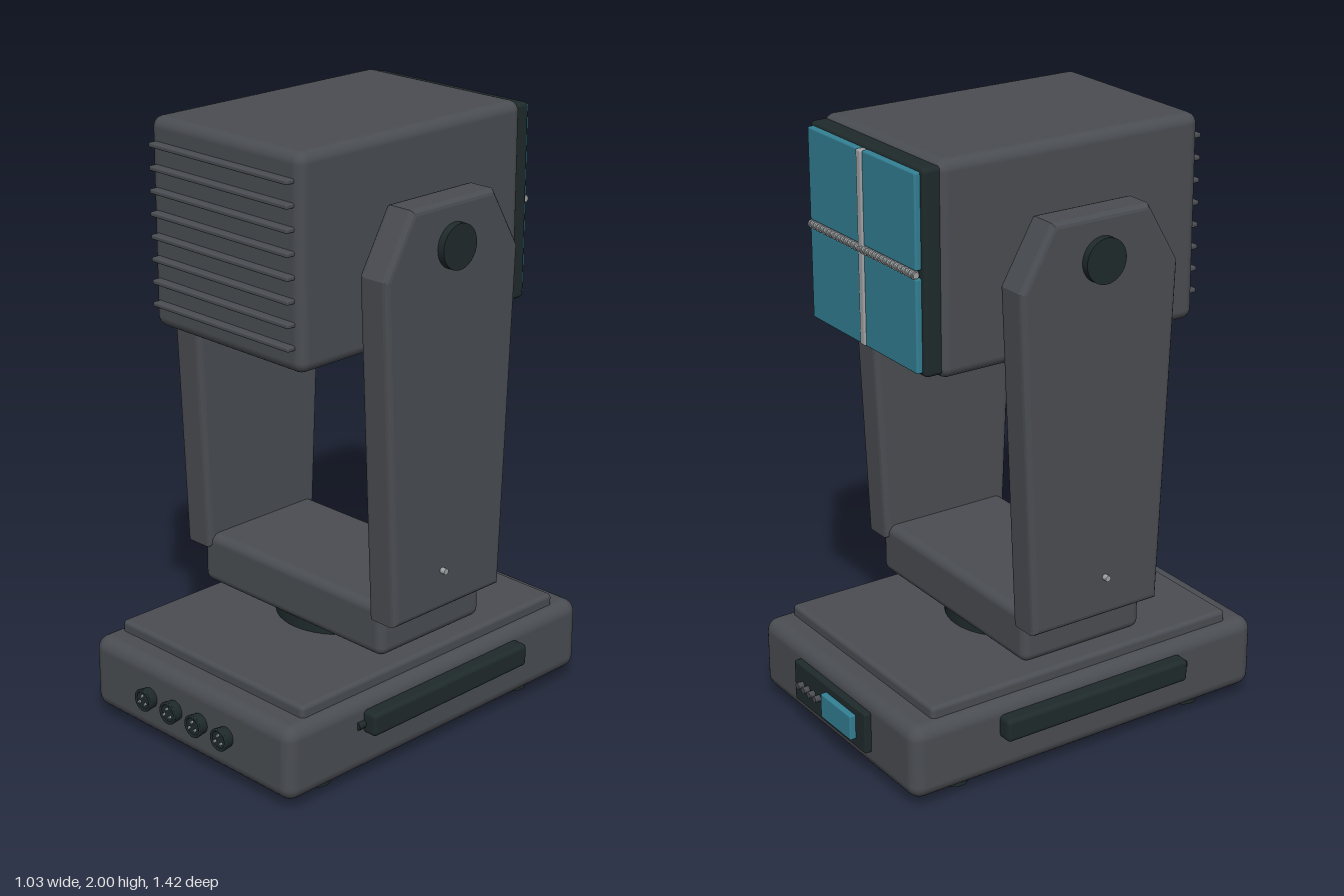
import * as THREE from 'three';
import { RoundedBoxGeometry } from 'three/addons/geometries/RoundedBoxGeometry.js';

const mat = (name, color) => {
  const m = new THREE.MeshStandardMaterial({ color });
  m.name = name;
  return m;
};

export function createModel() {
  const body = mat('charcoal body', 0x4a4d52);
  const dark = mat('dark rubber', 0x1f2a2b);
  const glass = mat('teal glass', 0x338094);
  const metal = mat('silver metal', 0xa0a4a6);

  const model = new THREE.Group();
  model.name = 'movingHeadLight';

  const add = (name, geometry, material, x = 0, y = 0, z = 0) => {
    const mesh = new THREE.Mesh(geometry, material);
    mesh.name = name;
    mesh.position.set(x, y, z);
    model.add(mesh);
    return mesh;
  };
  const box = (w, h, d, r) => new RoundedBoxGeometry(w, h, d, 3, r);
  // Cylinder along a chosen axis
  const rod = (r, len, axis = 'y', sides = 32, r2 = r) => {
    const g = new THREE.CylinderGeometry(r2, r, len, sides);
    if (axis === 'x') g.rotateZ(-Math.PI / 2);
    if (axis === 'z') g.rotateX(Math.PI / 2);
    return g;
  };

  // Base housing with raised top plate and feet
  add('base', box(0.93, 0.25, 1.335, 0.045), body, 0, 0.16, 0);
  add('baseTopPlate', box(0.85, 0.07, 1.15, 0.015), body, 0, 0.287, 0);
  for (const x of [-0.36, 0.36])
    for (const z of [-0.457, 0.457]) add('foot', rod(0.045, 0.05, 'y', 24), dark, x, 0.025, z);

  // Side carry handles
  for (const s of [-1, 1]) {
    add('sideHandle', box(0.06, 0.078, 0.705, 0.015), dark, s * 0.484, 0.206, 0);
    add('handlePin', rod(0.014, 0.04, 'z', 12), dark, s * 0.463, 0.2, 0.36);
  }

  // Round sockets on the front, each with three pins
  for (const x of [-0.18, -0.06, 0.06, 0.18]) {
    add('socket', rod(0.032, 0.04, 'z', 24, 0.038), dark, x, 0.165, 0.679);
    add('socketRim', new THREE.TorusGeometry(0.033, 0.005, 8, 24), dark, x, 0.165, 0.698);
    for (let i = 0; i < 3; i++) {
      const a = Math.PI / 2 + (i * Math.PI * 2) / 3;
      add('socketPin', rod(0.005, 0.008, 'z', 8), metal,
        x + 0.016 * Math.cos(a), 0.165 + 0.016 * Math.sin(a), 0.701);
    }
  }

  // Control panel on the back
  add('controlPanel', box(0.434, 0.14, 0.03, 0.006), dark, 0, 0.17, -0.676);
  add('display', box(0.18, 0.085, 0.025, 0.004), glass, -0.072, 0.172, -0.699);
  for (let i = 0; i < 4; i++)
    add('button', rod(0.011, 0.025, 'z', 16), body, 0.061 + i * 0.035, 0.172, -0.699);

  // Pan bearing and yoke
  add('panBearing', rod(0.21, 0.06, 'y', 48), dark, 0, 0.34, 0);
  add('yokeBase', box(0.83, 0.175, 0.456, 0.03), body, 0, 0.446, 0);

  // Tapered arm profile, extruded along x with a soft bevel
  const profile = new THREE.Shape(
    [[-0.238, 0.488], [0.238, 0.488], [0.287, 1.61], [0.174, 1.805], [-0.174, 1.805], [-0.287, 1.61]]
      .map(([z, y]) => new THREE.Vector2(z, y)));
  const bevel = 0.018;
  const armGeometry = new THREE.ExtrudeGeometry(profile, {
    depth: 0.115 - 2 * bevel, bevelThickness: bevel, bevelSize: bevel,
    bevelOffset: -bevel, bevelSegments: 3,
  });
  armGeometry.translate(0, 0, -(0.115 - 2 * bevel) / 2);
  armGeometry.rotateY(Math.PI / 2);

  const tiltY = 1.667;
  for (const s of [-1, 1]) {
    add('yokeArm', armGeometry, body, s * 0.426, 0, 0);
    add('tiltBearing', rod(0.103, 0.07, 'x'), body, s * 0.35, tiltY, 0);
    add('tiltKnob', rod(0.072, 0.05, 'x'), dark, s * 0.483, tiltY, 0);
    add('armScrew', rod(0.01, 0.03, 'x', 12), metal, s * 0.487, 0.622, 0.03);
  }

  // Lamp head
  add('head', box(0.66, 0.666, 0.945, 0.035), body, 0, tiltY, 0.0075);
  add('lensFrame', box(0.635, 0.636, 0.07, 0.015), dark, 0, tiltY, -0.476);

  // Cooling fins on the front of the head
  for (let i = 0; i < 8; i++)
    add('coolingFin', box(0.605, 0.015, 0.04, 0.005), body, 0, 1.416 + i * 0.0717, 0.488);

  // Four glass panes divided by a ribbed crossbar
  for (const x of [-1, 1])
    for (const y of [-1, 1])
      add('lensPane', box(0.287, 0.293, 0.03, 0.006), glass, x * 0.156, tiltY + y * 0.159, -0.515);
  add('lensBarVertical', box(0.028, 0.61, 0.032, 0.006), metal, 0, tiltY, -0.519);
  add('lensBarHorizontal', rod(0.01, 0.6, 'x', 16), metal, 0, tiltY, -0.528);
  for (let i = 0; i < 30; i++)
    add('lensBarRib', rod(0.0135, 0.008, 'x', 12), metal, -0.29 + i * 0.02, tiltY, -0.528);

  return model;
}
